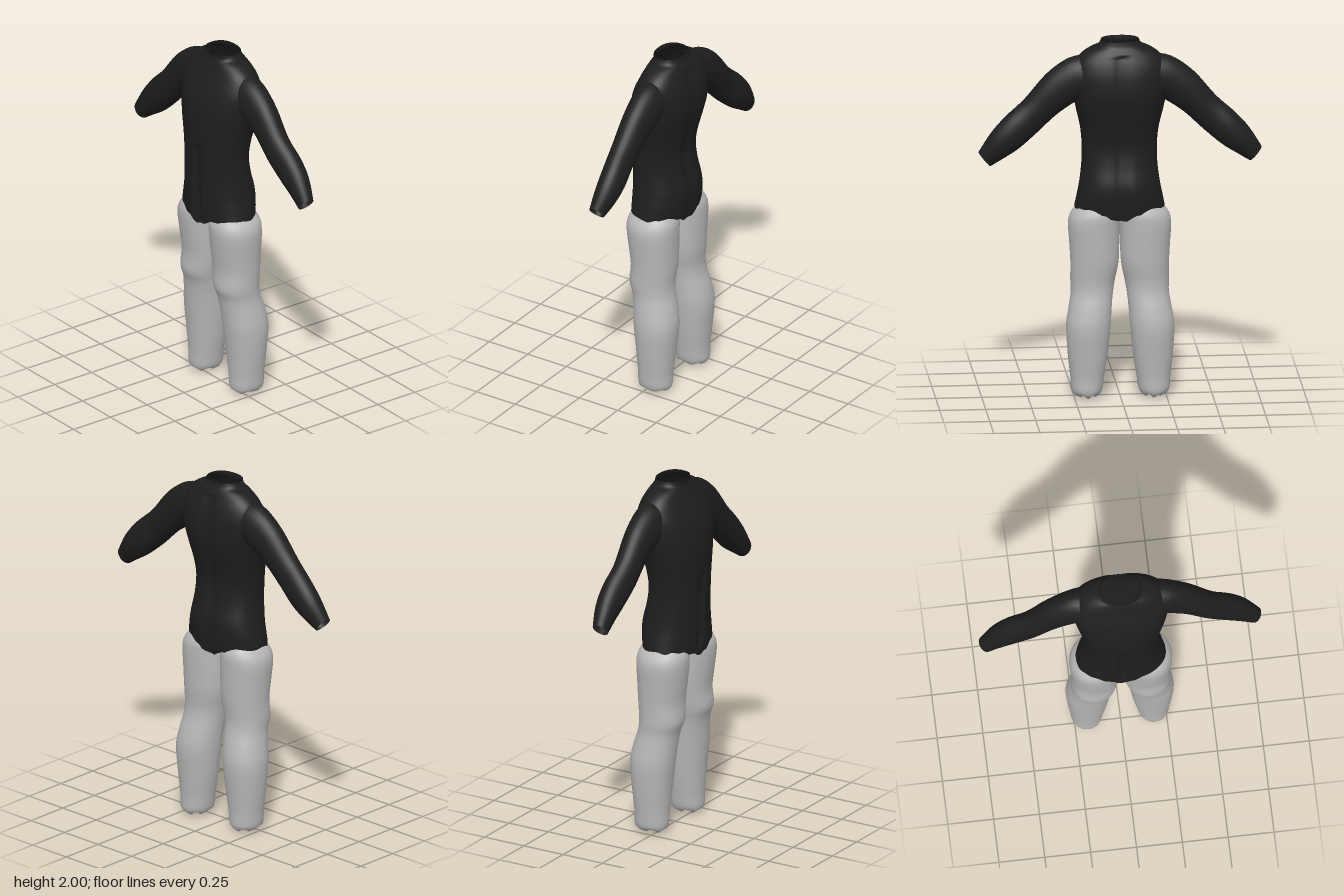
import * as THREE from 'three';

// One-dimensional Catmull-Rom through a row of values
function spline(a, b, c, d, t) {
  return b + 0.5 * t * (c - a + t * (2 * a - 5 * b + 4 * c - d + t * (3 * (b - c) + d - a)));
}

// Smooth skin through sections [ax, ay, bx, by, zFront, zBack]; a and b are opposite ends in the xy plane
function loft(rows, { segments = 32, steps = 4, power = 2, shape } = {}) {
  const pos = [], index = [];
  const last = rows.length - 1, count = last * steps;
  for (let i = 0; i <= count; i++) {
    const k = Math.min(Math.floor(i / steps), last - 1), t = i / steps - k;
    const row = (n) => rows[Math.max(0, Math.min(last, n))];
    const [ax, ay, bx, by, zf, zb] = row(k).map((v, n) =>
      spline(row(k - 1)[n], v, row(k + 1)[n], row(k + 2)[n], t));
    for (let j = 0; j < segments; j++) {
      const ang = (j / segments) * Math.PI * 2;
      const round = (v) => Math.sign(v) * Math.pow(Math.abs(v), 2 / power);
      const c = round(Math.cos(ang)), s = round(Math.sin(ang));
      const p = new THREE.Vector3(
        (ax + bx) / 2 + ((ax - bx) / 2) * c,
        (ay + by) / 2 + ((ay - by) / 2) * c,
        (zf + zb) / 2 + ((zf - zb) / 2) * s);
      if (shape) shape(p, i / count, ang);
      pos.push(p.x, p.y, p.z);
      if (i < count) {
        const n = (j + 1) % segments, r = i * segments, u = r + segments;
        index.push(r + j, u + j, r + n, r + n, u + j, u + n);
      }
    }
  }
  const geo = new THREE.BufferGeometry();
  geo.setAttribute('position', new THREE.Float32BufferAttribute(pos, 3));
  geo.setIndex(index);
  geo.computeVertexNormals();
  return geo;
}

// Mirror sections to the other side while keeping faces outward
const mirror = (rows) => rows.map(([ax, ay, bx, by, f, b]) => [-bx, by, -ax, ay, f, b]);

export function createModel() {
  const group = new THREE.Group();
  const black = new THREE.MeshStandardMaterial({ color: 0x1e1e1e, side: THREE.DoubleSide });
  black.name = 'black shirt cloth';
  const grey = new THREE.MeshStandardMaterial({ color: 0xb8b8b8, side: THREE.DoubleSide });
  grey.name = 'grey trouser cloth';
  const add = (name, geo, mat) => {
    const mesh = new THREE.Mesh(geo, mat);
    mesh.name = name;
    group.add(mesh);
  };

  // Shirt body: [height, half width, front z, back z]
  const body = [
    [1.04, 0.245, 0.162, -0.135], [1.12, 0.232, 0.165, -0.148], [1.2, 0.218, 0.166, -0.148],
    [1.3, 0.206, 0.168, -0.125], [1.4, 0.204, 0.17, -0.113], [1.5, 0.213, 0.174, -0.128],
    [1.6, 0.235, 0.175, -0.153], [1.7, 0.255, 0.168, -0.172], [1.8, 0.265, 0.143, -0.168],
    [1.87, 0.25, 0.112, -0.152], [1.92, 0.215, 0.09, -0.132], [1.955, 0.165, 0.075, -0.115],
    [1.975, 0.118, 0.067, -0.105], [2.0, 0.104, 0.068, -0.1],
  ].map(([y, w, f, b]) => [w, y, -w, y, f, b]);
  const shapeBody = (p, t) => {
    // uneven hem, dipping at the middle
    const hem = 1.0 + 0.06 * Math.min(1, Math.abs(p.x) / 0.17) + 0.006 * Math.sin(p.x * 75 + p.z * 40);
    const fade = Math.max(0, 1 - t / 0.12);
    p.y += (hem - 1.04) * fade;
    // narrow front slit and soft groove down the spine
    if (p.z > 0 && Math.abs(p.x) < 0.004 && p.y > 1.06 && p.y < 1.45) p.z -= 0.035;
    if (p.z < 0 && p.y < 1.93) p.z += 0.014 * Math.exp(-((p.x / 0.03) ** 2));
  };
  add('shirtBody', loft(body, { segments: 64, power: 2.3, shape: shapeBody }), black);

  // Sleeves: lower edge, upper edge, front and back depth
  const sleeve = [
    [0.19, 1.68, 0.17, 1.92, 0.075, -0.12], [0.25, 1.655, 0.28, 1.9, 0.062, -0.112],
    [0.35, 1.585, 0.4, 1.815, 0.053, -0.102], [0.45, 1.49, 0.52, 1.675, 0.048, -0.092],
    [0.55, 1.405, 0.62, 1.585, 0.038, -0.1], [0.635, 1.35, 0.7, 1.495, 0.03, -0.092],
    [0.705, 1.305, 0.77, 1.382, 0.022, -0.065],
  ];
  // Trouser legs: [height, inner x, outer x, front z, back z]
  const leg = [
    [0.015, 0.14, 0.215, 0.025, -0.09], [0.035, 0.103, 0.262, 0.056, -0.128],
    [0.12, 0.088, 0.272, 0.06, -0.132], [0.25, 0.068, 0.286, 0.07, -0.145],
    [0.4, 0.053, 0.294, 0.086, -0.158], [0.5, 0.046, 0.28, 0.096, -0.143],
    [0.58, 0.038, 0.267, 0.108, -0.122], [0.65, 0.026, 0.268, 0.13, -0.116],
    [0.75, 0.007, 0.268, 0.125, -0.125], [0.86, 0.002, 0.274, 0.138, -0.13],
    [0.97, 0.001, 0.28, 0.15, -0.134], [1.03, 0.002, 0.262, 0.145, -0.13],
    [1.08, 0.02, 0.215, 0.115, -0.105],
  ].map(([y, i, o, f, b]) => [o, y, i, y, f, b]);
  // ragged ankle opening
  const fray = (p, t, ang) => {
    if (t < 0.09) p.y += 0.014 * Math.sin(ang * 5) * (1 - t / 0.09);
  };

  for (const side of ['left', 'right']) {
    const place = (rows) => (side === 'left' ? rows : mirror(rows));
    add(side + 'Sleeve', loft(place(sleeve), { segments: 28 }), black);
    add(side + 'TrouserLeg', loft(place(leg), { segments: 36, power: 2.15, shape: fray }), grey);
  }
  return group;
}
